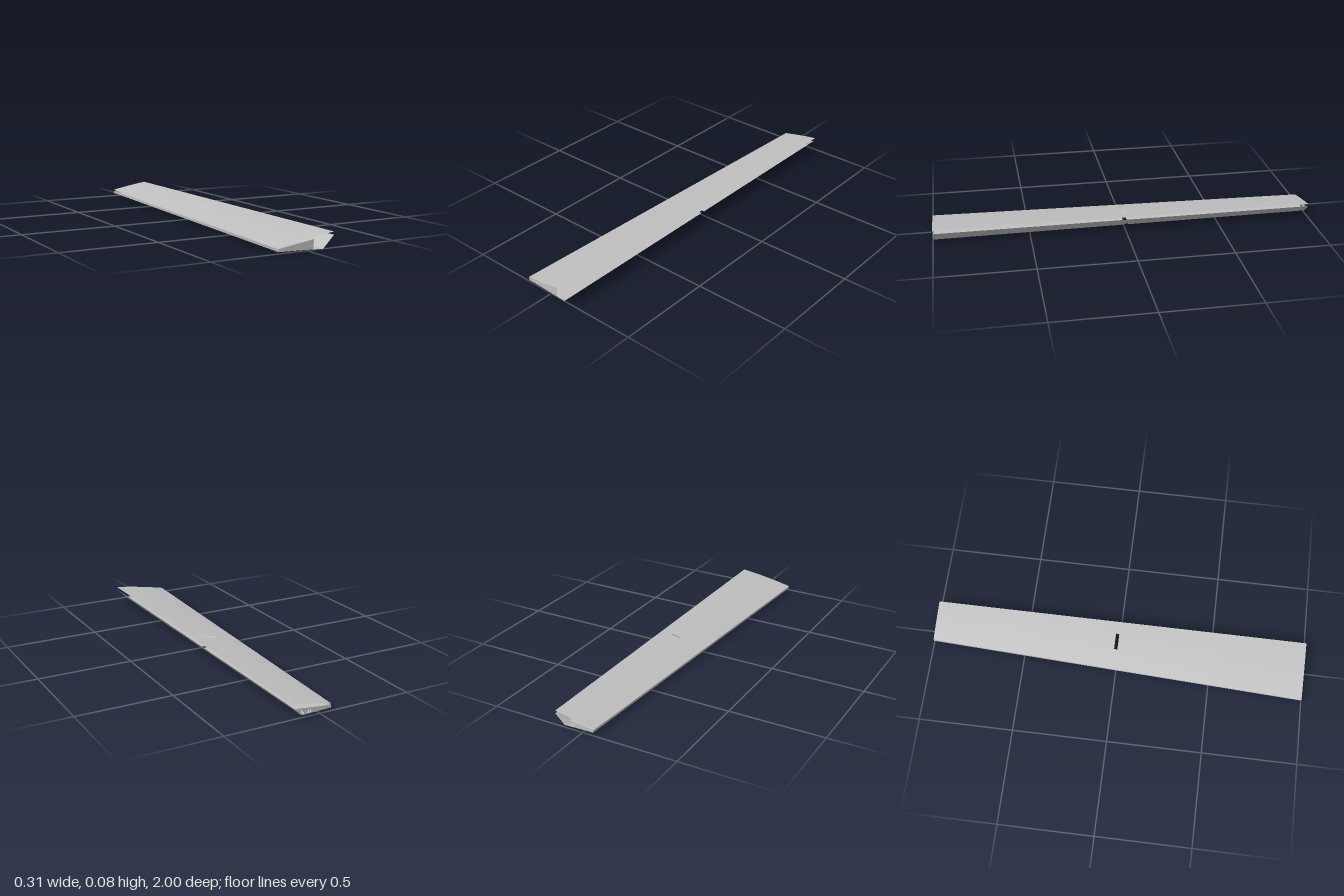
import * as THREE from 'three';

const lerp = THREE.MathUtils.lerp;
const grey = new THREE.MeshStandardMaterial({ color: 0xc0c0c0, side: THREE.DoubleSide });
grey.name = 'panel grey';

// Stations along the span, with two of them bounding the hinge slot.
const SPAN = [1, 0.5, -0.004, -0.024, -0.5, -1];
const SLOT = 2;

// Thin panel lofted between a wide section (z = 1) and a narrow one (z = -1).
// Cells between two chord stations can be left out to cut the slot.
function panel(name, wide, narrow, chord, bulge = [0, 0], slot = []) {
  const pos = [], index = [];
  for (const z of SPAN) {
    const t = (1 - z) / 2;
    for (const u of chord) {
      const at = ([a, b], k) => lerp(a[k], b[k], u);
      const camber = lerp(bulge[0], bulge[1], t) * 4 * u * (1 - u);
      pos.push(lerp(at(wide, 0), at(narrow, 0), t), lerp(at(wide, 1), at(narrow, 1), t) + camber, z);
    }
  }
  const n = chord.length;
  for (let j = 0; j < SPAN.length - 1; j++) {
    for (let i = 0; i < n - 1; i++) {
      if (j === SLOT && slot.includes(i)) continue;
      const a = j * n + i, b = a + n;
      index.push(a, a + 1, b, b, a + 1, b + 1);
    }
  }
  const geo = new THREE.BufferGeometry();
  geo.setAttribute('position', new THREE.Float32BufferAttribute(pos, 3));
  geo.setIndex(index);
  geo.computeVertexNormals();
  const mesh = new THREE.Mesh(geo, grey);
  mesh.name = name;
  return mesh;
}

// Flat rib across the span, with optional cut-outs.
function rib(name, z, outline, holes = []) {
  const toPoints = (list) => list.map(([x, y]) => new THREE.Vector2(x, y));
  const shape = new THREE.Shape(toPoints(outline));
  for (const h of holes) shape.holes.push(new THREE.Path(toPoints(h)));
  const mesh = new THREE.Mesh(new THREE.ShapeGeometry(shape), grey);
  mesh.position.z = z;
  mesh.name = name;
  return mesh;
}

export function createModel() {
  const model = new THREE.Group();
  model.name = 'flap';

  // Cambered upper skin, floating just above the lower body
  model.add(panel('upperSkin',
    [[-0.155, 0.024], [0.15, 0.075]], [[-0.06, 0.037], [0.15, 0.074]],
    [0, 0.14, 0.28, 0.416, 0.53, 0.65, 0.767, 0.88, 1], [0.004, 0.002], [3, 4, 5]));

  // Lower body: bottom skin, sloped nose and trailing edge strip
  model.add(panel('bottomSkin',
    [[-0.153, 0.008], [0.09, 0]], [[-0.06, 0.017], [0.1, 0.012]],
    [0, 0.3, 0.58, 0.8, 1], [0.001, 0], [2, 3]));
  model.add(panel('noseSlope',
    [[0.09, 0], [0.15, 0.06]], [[0.1, 0.012], [0.15, 0.06]],
    [0, 0.15, 1], [0, 0], [0]));
  model.add(panel('trailingEdge',
    [[-0.153, 0.008], [-0.155, 0.021]], [[-0.06, 0.017], [-0.06, 0.029]], [0, 1]));

  // Solid rib closing the wide end
  model.add(rib('wideEndRib', 0.998,
    [[-0.153, 0.008], [0.036, 0.003], [0.041, 0.05], [-0.155, 0.021]]));

  // Truss rib closing the narrow end
  model.add(rib('narrowEndTruss', -0.998,
    [[-0.06, 0.017], [0.1, 0.012], [0.141, 0.05], [-0.06, 0.029]],
    [
      [[0.046, 0.016], [0.056, 0.016], [0.051, 0.036]],
      [[0.06, 0.016], [0.074, 0.016], [0.057, 0.036]],
      [[0.082, 0.016], [0.096, 0.016], [0.105, 0.042]],
    ]));

  return model;
}
